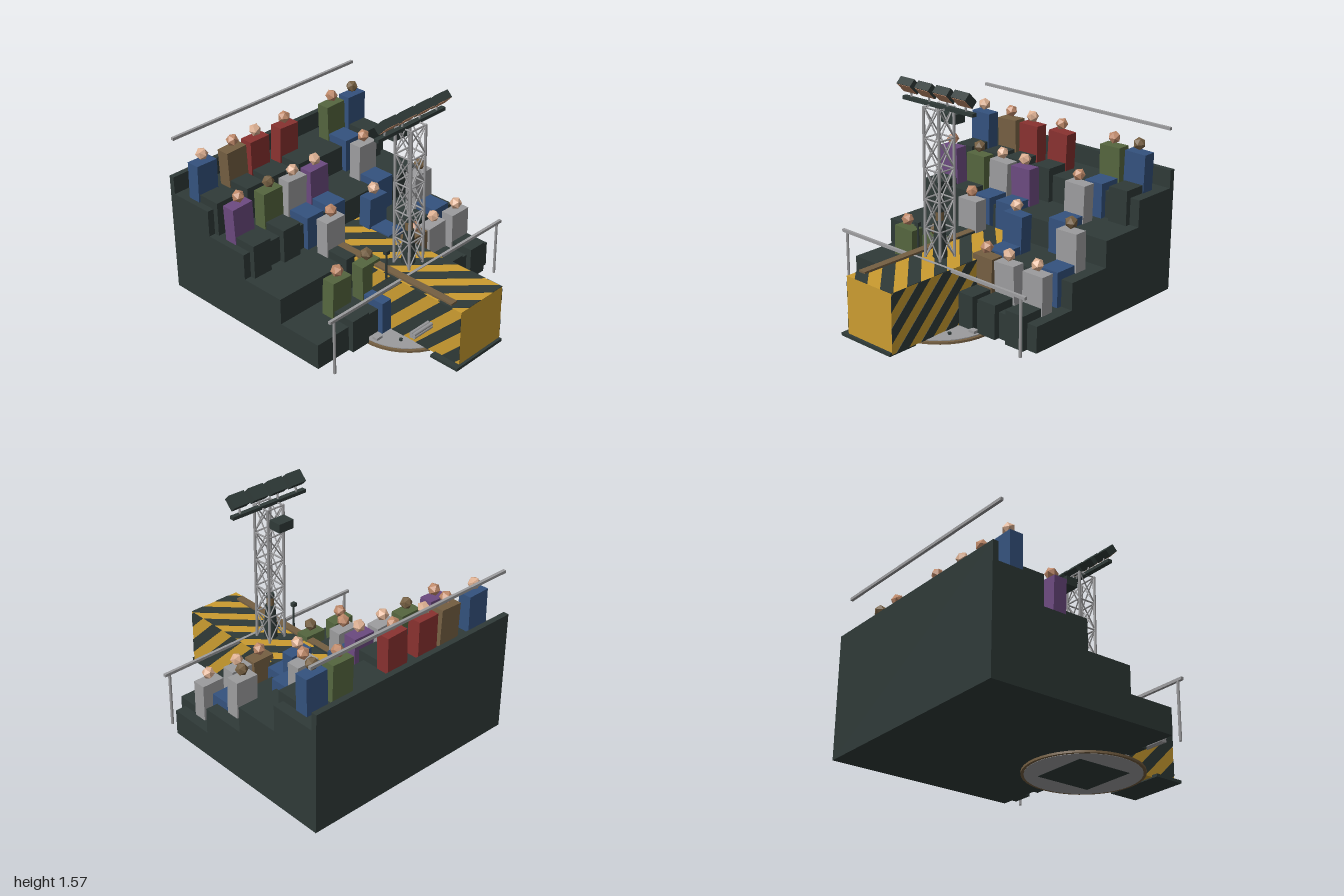
import * as THREE from 'three';

const mat = (name, color) => {
  const m = new THREE.MeshStandardMaterial({ color });
  m.name = name;
  return m;
};

export function createModel() {
  const M = {
    dark: mat('charcoal', 0x2f3a38), grey: mat('steel grey', 0x9c9c9e),
    yellow: mat('hazard yellow', 0xcb9c30), brown: mat('brown', 0x755f42),
    blue: mat('blue', 0x34527e), purple: mat('purple', 0x6c4a80),
    green: mat('green', 0x55663f), red: mat('red', 0x893230),
    light: mat('light skin', 0xddb092), mid: mat('tan skin', 0xc08a6a),
  };
  const root = new THREE.Group();
  root.name = 'grandstand';

  const add = (name, geo, material, x = 0, y = 0, z = 0, parent = root) => {
    const m = new THREE.Mesh(geo, material);
    m.name = name;
    m.position.set(x, y, z);
    parent.add(m);
    return m;
  };
  // Box given by its minimum and maximum on each axis
  const span = (name, material, x0, x1, y0, y1, z0, z1, parent = root) =>
    add(name, new THREE.BoxGeometry(x1 - x0, y1 - y0, z1 - z0), material,
      (x0 + x1) / 2, (y0 + y1) / 2, (z0 + z1) / 2, parent);
  // Round bar between two points
  const bar = (name, a, b, r, material, parent = root, sides = 6) => {
    const d = b.clone().sub(a), c = a.clone().add(b).multiplyScalar(0.5);
    const m = add(name, new THREE.CylinderGeometry(r, r, d.length(), sides), material, c.x, c.y, c.z, parent);
    m.quaternion.setFromUnitVectors(new THREE.Vector3(0, 1, 0), d.normalize());
    return m;
  };
  const V = (x, y, z) => new THREE.Vector3(x, y, z);

  // Stepped stand and back wall
  const tops = [0.2, 0.385, 0.57, 0.755];
  const fronts = [0.36, 0.03, -0.3, -0.63];
  tops.forEach((t, i) => span('step', M.dark, -0.825, 0.825, 0.02, t, fronts[i] - 0.33, fronts[i]));
  span('backWall', M.dark, -0.825, 0.825, 0.02, 0.88, -1, -0.96);

  // Rails
  span('backRail', M.grey, -0.825, 0.825, 1.16, 1.18, -0.95, -0.93);
  span('frontRail', M.grey, -0.825, 0.825, 0.412, 0.432, 0.455, 0.475);
  for (const s of [-1, 1]) bar('railPost', V(s * 0.785, 0.02, 0.465), V(s * 0.785, 0.415, 0.465), 0.01, M.grey);

  // Seated spectators: [x, shirt, skin, trousers] for each row
  const rows = [
    [[-0.48, 'green', 'mid', 'dark'], [-0.21, 'green', 'brown', 'blue'], [0.25, 'brown', 'mid', 'dark'],
      [0.44, 'grey', 'light', 'dark'], [0.675, 'grey', 'light', 'dark']],
    [[-0.2, 'grey', 'mid', 'dark'], [0.205, 'blue', 'light', 'blue'], [0.665, 'grey', 'brown', 'blue']],
    [[-0.7, 'purple', 'mid', 'dark'], [-0.44, 'green', 'brown', 'dark'], [-0.225, 'grey', 'light', 'blue'],
      [-0.02, 'purple', 'light', 'blue'], [0.45, 'grey', 'mid', 'blue']],
    [[-0.705, 'blue', 'light', 'dark'], [-0.445, 'brown', 'mid', 'dark'], [-0.245, 'red', 'light', 'dark'],
      [0.02, 'red', 'mid', 'dark'], [0.475, 'green', 'mid', 'blue'], [0.68, 'blue', 'brown', 'dark']],
  ];
  const torsoGeo = new THREE.BoxGeometry(0.165, 0.26, 0.095);
  const headGeo = new THREE.IcosahedronGeometry(0.044, 0);
  rows.forEach((row, i) => row.forEach(([x, shirt, skin, legs], j) => {
    const p = new THREE.Group();
    p.name = 'spectator';
    p.position.set(x, tops[i], fronts[i]);
    root.add(p);
    const torso = add('torso', torsoGeo, M[shirt], 0, 0.133, -0.172, p);
    torso.rotation.z = ((i * 2 + j * 3) % 5 - 2) * 0.02;
    const head = add('head', headGeo, M[skin], 0, 0.315, -0.17, p);
    head.rotation.y = (i + j) * 0.7;
    span('thighs', M[legs], -0.073, 0.073, 0.001, 0.056, -0.14, 0.04, p);
    span('shins', M[legs], -0.073, 0.073, i ? -0.184 : -0.178, 0.02, 0.001, 0.04, p);
  }));

  // Turntable disc with a dark square hub below and bolts on top
  const disc = (name, r, y0, y1, m) =>
    add(name, new THREE.CylinderGeometry(r, r, y1 - y0, 40), m, 0, (y0 + y1) / 2, 0.365);
  disc('discRim', 0.405, 0.003, 0.018, M.brown);
  disc('discPlate', 0.385, 0.001, 0.024, M.grey);
  span('discHub', M.dark, -0.21, 0.21, 0, 0.01, 0.155, 0.575);
  for (let k = 0; k < 6; k++) {
    const a = k * Math.PI / 3 + Math.PI / 6;
    add('discBolt', new THREE.CylinderGeometry(0.012, 0.012, 0.016, 6), M.dark,
      0.29 * Math.cos(a), 0.03, 0.365 + 0.34 * Math.sin(a));
  }
  for (const s of [-1, 1]) span('discClamp', M.grey, s * 0.34 - 0.025, s * 0.34 + 0.025, 0.024, 0.042, 0.39, 0.43);

  // Long hazard block
  span('hazardBlock', M.yellow, -0.2, 0.2, 0.022, 0.428, -0.26, 0.98);
  span('blockFoot', M.dark, -0.245, 0.2, 0.014, 0.035, 0.78, 1);

  // Diagonal stripes: a rectangle in u, v cut to the bands between c and c + w
  const cut = (pts, f) => pts.flatMap((p, i) => {
    const q = pts[(i + 1) % pts.length], a = f(p), b = f(q);
    const out = a >= 0 ? [p] : [];
    if (a * b < 0) out.push(new THREE.Vector2().lerpVectors(p, q, a / (a - b)));
    return out;
  });
  const stripes = (name, w, h, period, offset, place) => {
    for (let c = -h - period + offset; c < w; c += period) {
      let pts = [[0, 0], [w, 0], [w, h], [0, h]].map(([u, v]) => new THREE.Vector2(u, v));
      pts = cut(pts, (p) => p.x - p.y - c);
      pts = cut(pts, (p) => c + period / 2 - p.x + p.y);
      if (pts.length < 3) continue;
      const geo = new THREE.ExtrudeGeometry(new THREE.Shape(pts), { depth: 0.003, bevelEnabled: false });
      place(add(name, geo, M.dark));
    }
  };
  stripes('rightStripe', 1.24, 0.406, 0.21, 0.02, (m) => {
    m.position.set(0.2, 0.022, 0.98);
    m.rotation.y = Math.PI / 2;
  });
  stripes('leftStripe', 1.24, 0.406, 0.21, 0.02, (m) => {
    m.position.set(-0.2, 0.022, -0.26);
    m.rotation.y = -Math.PI / 2;
  });
  stripes('topStripe', 1.24, 0.4, 0.23, 0.07, (m) => {
    // u runs along +z and v along +x
    m.matrixAutoUpdate = true;
    m.position.set(-0.2, 0.428, -0.26);
    m.quaternion.setFromRotationMatrix(new THREE.Matrix4().makeBasis(V(0, 0, 1), V(1, 0, 0), V(0, 1, 0)));
  });

  // Beam on the block, ribbed side pipe and lever
  span('topBeam', M.brown, -0.187, -0.133, 0.429, 0.444, -0.12, 0.89);
  for (const [y, z] of [[0.213, 0.722], [0.213, 0.745], [0.234, 0.722], [0.234, 0.745]])
    bar('sidePipe', V(-0.37, y, z), V(-0.19, y, z), 0.012, M.grey, root, 8);
  bar('leverStem', V(-0.205, 0.4, 0.36), V(-0.205, 0.6, 0.36), 0.008, M.dark);
  span('leverKnob', M.dark, -0.222, -0.19, 0.585, 0.612, 0.345, 0.375);

  // Lattice tower
  const tower = new THREE.Group();
  tower.name = 'latticeTower';
  tower.position.set(0, 0.43, 0.363);
  root.add(tower);
  const R = 0.066, H = 0.2;
  for (let k = 0; k < 4; k++) {
    const side = new THREE.Group();
    side.name = 'towerSide';
    side.rotation.y = k * Math.PI / 2;
    tower.add(side);
    bar('towerLeg', V(R, 0, R), V(R, 1, R), 0.01, M.grey, side);
    for (let b = 0; b < 5; b++) {
      const y = b * H;
      bar('towerBrace', V(-R, y, R), V(R, y + H, R), 0.005, M.grey, side, 5);
      bar('towerBrace', V(R, y, R), V(-R, y + H, R), 0.005, M.grey, side, 5);
      bar('towerRung', V(-R, y + H - 0.005, R), V(R, y + H - 0.005, R), 0.006, M.grey, side, 5);
    }
  }

  // Beacon standing inside the tower
  add('beaconBody', new THREE.CylinderGeometry(0.034, 0.048, 0.25, 8), M.dark, 0, 0.555, 0.363);
  add('beaconLamp', new THREE.CylinderGeometry(0.026, 0.026, 0.06, 8), M.brown, 0, 0.71, 0.363);
  add('beaconCap', new THREE.CylinderGeometry(0.028, 0.028, 0.025, 8), M.dark, 0, 0.752, 0.363);

  // Crossbar, floodlights and speaker
  span('lightBar', M.dark, -0.307, 0.307, 1.42, 1.443, 0.345, 0.38);
  for (const x of [-0.237, -0.079, 0.079, 0.237]) {
    bar('lampPost', V(x, 1.44, 0.363), V(x, 1.5, 0.375), 0.007, M.grey);
    const lamp = new THREE.Group();
    lamp.name = 'floodlight';
    lamp.position.set(x, 1.523, 0.385);
    lamp.rotation.x = 0.78;
    root.add(lamp);
    add('lampCase', new THREE.BoxGeometry(0.122, 0.09, 0.055), M.dark, 0, 0, 0, lamp);
    add('lampLens', new THREE.BoxGeometry(0.112, 0.08, 0.006), M.mid, 0, 0, 0.027, lamp);
  }
  span('speaker', M.dark, -0.06, 0.06, 1.302, 1.365, 0.19, 0.285);

  return root;
}
